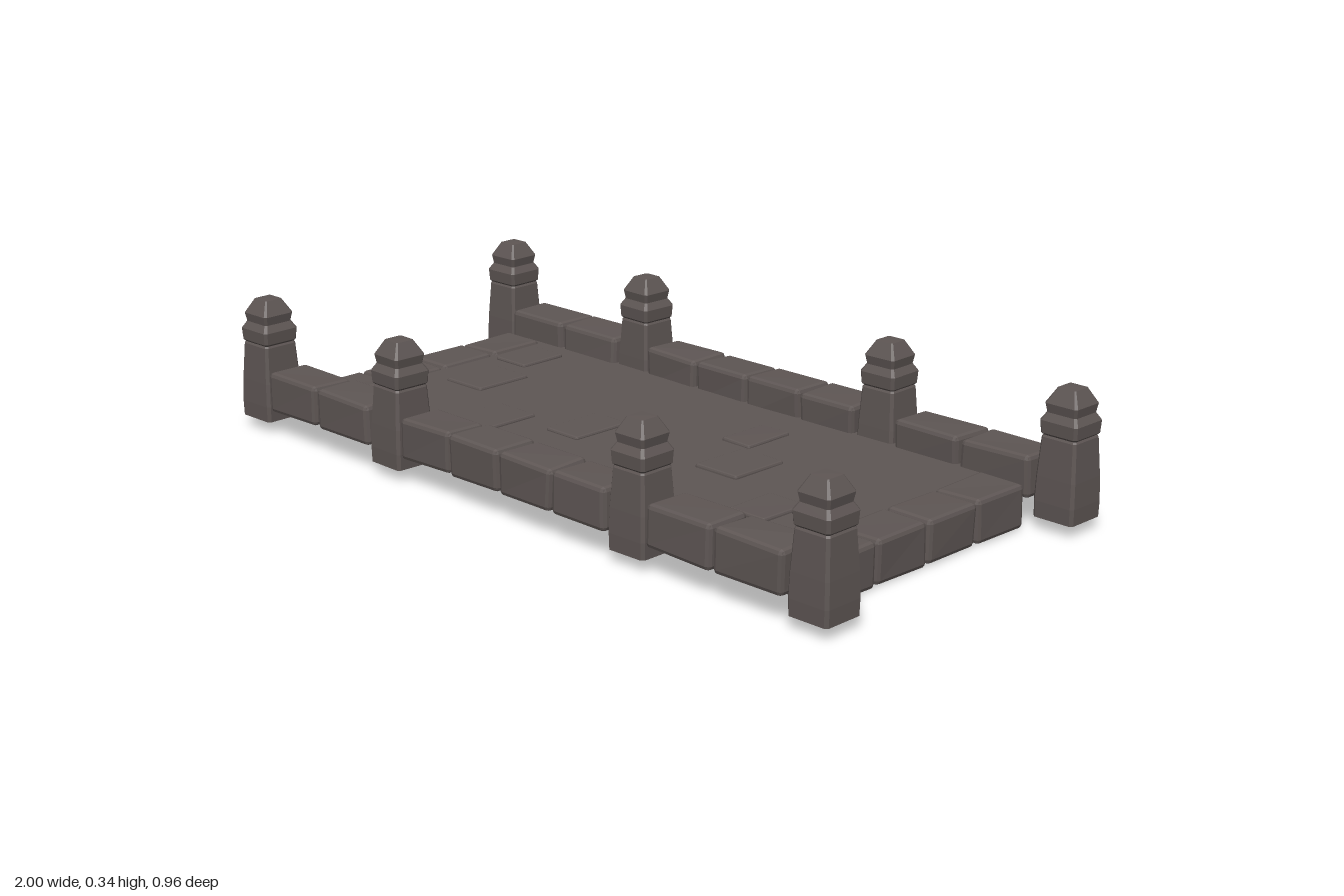
import * as THREE from 'three';
import { RoundedBoxGeometry } from 'three/addons/geometries/RoundedBoxGeometry.js';

const stone = new THREE.MeshStandardMaterial({ color: 0x5e5654 });
stone.name = 'dark stone';

export function createModel() {
  const model = new THREE.Group();
  model.name = 'stoneBridge';
  let seed = 7;
  const jitter = (a) => {
    seed = (seed * 16807) % 2147483647;
    return (seed / 2147483647 - 0.5) * 2 * a;
  };

  const add = (name, geometry, x, y, z) => {
    const mesh = new THREE.Mesh(geometry, stone);
    mesh.name = name;
    mesh.position.set(x, y, z);
    model.add(mesh);
    return mesh;
  };

  // Chamfered block whose eight corners are each nudged a little
  function block(w, h, d, bevel, wobble) {
    const geo = new RoundedBoxGeometry(w, h, d, 1, bevel);
    const nudge = Array.from({ length: 8 }, () => [jitter(wobble), jitter(wobble), jitter(wobble)]);
    const p = geo.attributes.position;
    for (let i = 0; i < p.count; i++) {
      const n = nudge[(p.getX(i) > 0 ? 1 : 0) + (p.getY(i) > 0 ? 2 : 0) + (p.getZ(i) > 0 ? 4 : 0)];
      p.setXYZ(i, p.getX(i) + n[0], p.getY(i) + n[1], p.getZ(i) + n[2]);
    }
    geo.computeVertexNormals();
    return geo;
  }

  // Square post with cut corners, a collar and a faceted head: [half width, height]
  const profile = [
    [0, 0.03], [0.055, 0.03], [0.056, 0.07], [0.054, 0.13], [0.048, 0.222], [0.045, 0.227],
    [0.05, 0.232], [0.052, 0.262], [0.041, 0.28], [0.045, 0.302], [0.025, 0.338], [0, 0.339],
  ].map(([r, y]) => new THREE.Vector2(r, y));
  function postGeometry() {
    let geo = new THREE.LatheGeometry(profile, 8, Math.PI / 8);
    const p = geo.attributes.position;
    const major = Math.cos(Math.PI / 8);
    for (let i = 0; i < p.count; i++) {
      const x = p.getX(i) / major, z = p.getZ(i) / major;
      const xIsMajor = Math.abs(x) > Math.abs(z);
      p.setXYZ(i, xIsMajor ? x : x * 2.1, p.getY(i), xIsMajor ? z * 2.1 : z);
    }
    geo = geo.toNonIndexed();
    geo.computeVertexNormals();
    return geo;
  }

  // Deck
  add('deck', new THREE.BoxGeometry(1.64, 0.037, 0.86), 0, 0.0815, 0);

  // Raised paving slabs: x, z, width, depth
  const slabs = [
    [-0.675, -0.23, 0.11, 0.14], [-0.61, -0.025, 0.13, 0.165], [-0.355, 0.18, 0.13, 0.165],
    [-0.14, 0.065, 0.11, 0.17], [0.205, -0.17, 0.09, 0.145], [0.315, 0.005, 0.13, 0.165],
    [0.56, 0.175, 0.11, 0.14],
  ];
  for (const [x, z, w, d] of slabs) add('pavingSlab', block(w, 0.024, d, 0.005, 0.001), x, 0.096, z);

  // Low side walls and posts
  const spans = [
    [-0.88, -0.685], [-0.677, -0.48], [-0.356, -0.183], [-0.176, -0.008],
    [0, 0.172], [0.178, 0.347], [0.478, 0.67], [0.678, 0.876],
  ];
  for (const side of [-1, 1]) {
    for (const [a, b] of spans) {
      add('wallStone', block(b - a, 0.104, 0.121, 0.011, 0.003), (a + b) / 2, 0.117, side * 0.415);
    }
    for (const x of [-0.943, -0.42, 0.41, 0.942]) {
      const post = add('post', postGeometry(), x, 0, side * 0.417);
      post.rotation.y = jitter(0.03);
    }
  }

  // Threshold stones at both ends
  for (const x of [-0.82, 0.813]) {
    for (let i = 0; i < 4; i++) {
      add('thresholdStone', block(0.128, 0.106, 0.168, 0.011, 0.002), x, 0.055, -0.26 + i * 0.173);
    }
  }
  return model;
}
